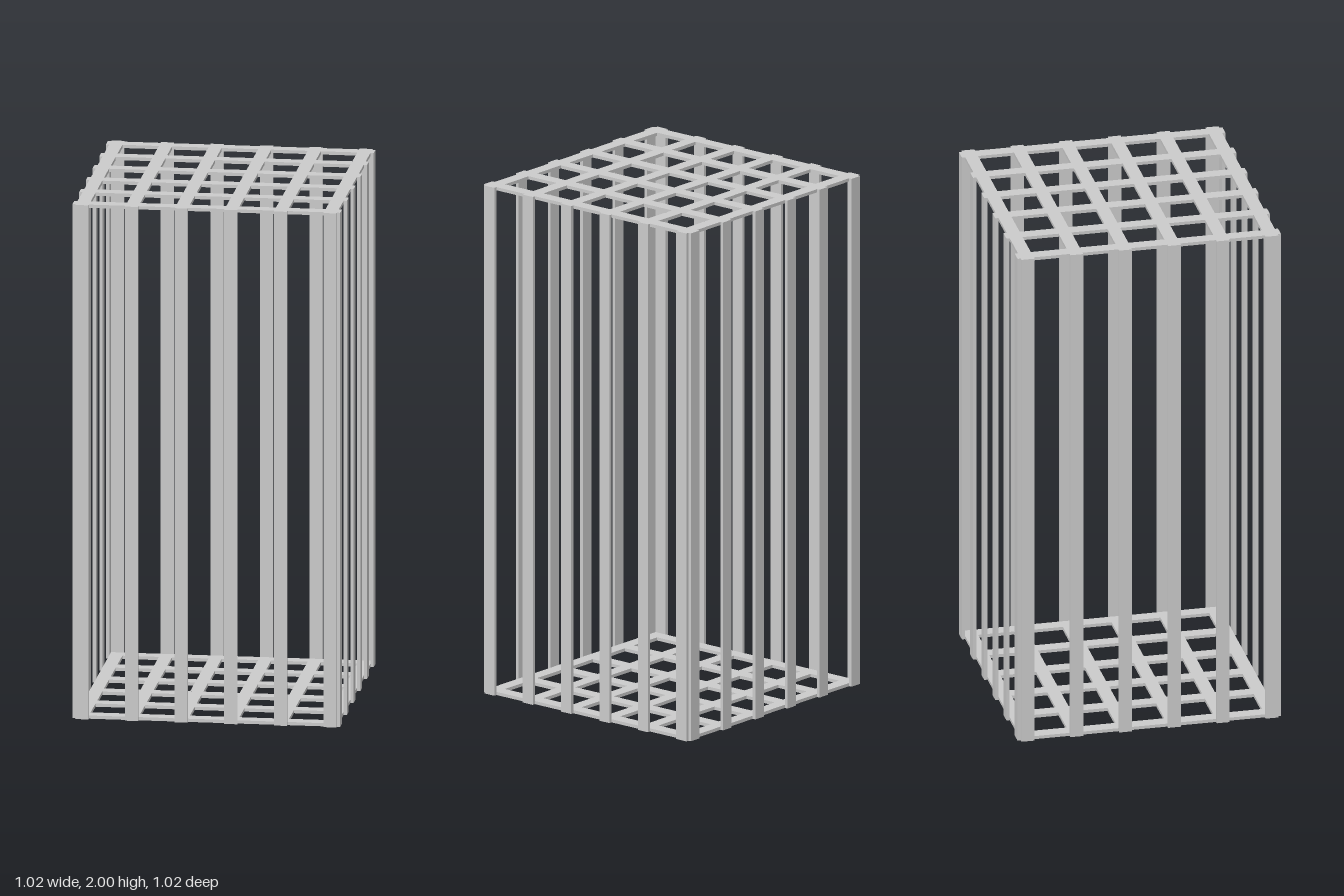
import * as THREE from 'three';

const BARS = 6, WIDTH = 0.05, PITCH = 0.189, THICK = 0.0125, HEIGHT = 2;
const HALF = (PITCH * (BARS - 1) + WIDTH) / 2; // half width of the square grille
const barCentre = (i) => (i - (BARS - 1) / 2) * PITCH;

const material = new THREE.MeshStandardMaterial({ color: 0xcccccc });

// Square outline, wound either way
function square(path, x, y, half) {
  path.moveTo(x - half, y - half);
  path.lineTo(x + half, y - half);
  path.lineTo(x + half, y + half);
  path.lineTo(x - half, y + half);
  path.closePath();
  return path;
}

// Flat lattice plate with square openings, lying in the xz plane
function grilleGeometry() {
  const shape = square(new THREE.Shape(), 0, 0, HALF);
  for (let i = 0; i < BARS - 1; i++) {
    for (let j = 0; j < BARS - 1; j++) {
      const x = barCentre(i) + PITCH / 2, y = barCentre(j) + PITCH / 2;
      shape.holes.push(square(new THREE.Path(), x, y, (PITCH - WIDTH) / 2));
    }
  }
  const geometry = new THREE.ExtrudeGeometry(shape, { depth: THICK, bevelEnabled: false });
  return geometry.rotateX(-Math.PI / 2);
}

export function createModel() {
  const model = new THREE.Group();
  model.name = 'cage';

  // Floor and roof lattices
  const grille = grilleGeometry();
  for (const [name, y] of [['floorGrille', 0], ['roofGrille', HEIGHT - THICK]]) {
    const mesh = new THREE.Mesh(grille, material);
    mesh.name = name;
    mesh.position.y = y;
    model.add(mesh);
  }

  // Four walls of flat upright bars, fixed to the outside of the lattices
  const bar = new THREE.BoxGeometry(WIDTH, HEIGHT, THICK);
  ['frontBars', 'leftBars', 'backBars', 'rightBars'].forEach((name, side) => {
    const wall = new THREE.Group();
    wall.name = name;
    for (let i = 0; i < BARS; i++) {
      const mesh = new THREE.Mesh(bar, material);
      mesh.name = 'bar';
      mesh.position.set(barCentre(i), HEIGHT / 2, HALF + THICK / 2);
      wall.add(mesh);
    }
    wall.rotation.y = side * Math.PI / 2;
    model.add(wall);
  });

  return model;
}
